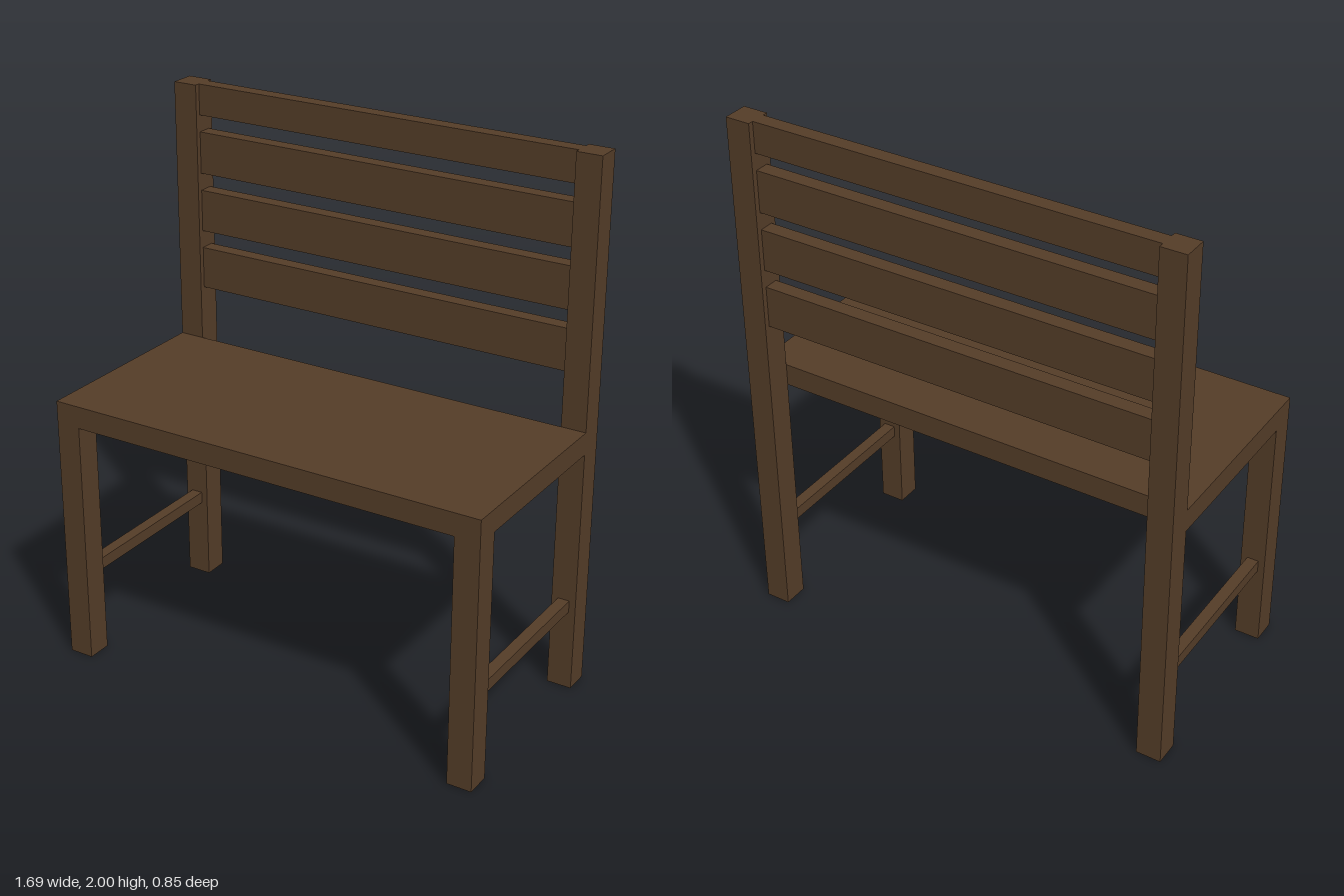
import * as THREE from 'three';

export function createModel() {
  const bench = new THREE.Group();
  bench.name = 'bench';
  const wood = new THREE.MeshStandardMaterial({ color: 0x553d28 });
  wood.name = 'dark wood';

  // Box given by its lower and upper limits on each axis
  function beam(name, [x0, x1], [y0, y1], [z0, z1]) {
    const mesh = new THREE.Mesh(new THREE.BoxGeometry(x1 - x0, y1 - y0, z1 - z0), wood);
    mesh.name = name;
    mesh.position.set((x0 + x1) / 2, (y0 + y1) / 2, (z0 + z1) / 2);
    bench.add(mesh);
  }

  const outer = 0.847, inner = 0.753;
  const front = 0.425, back = -0.425, post = 0.095;
  const seatBottom = 0.937, seatTop = 1.021;

  // Seat slab, ending at the front of the back posts
  beam('seat', [-outer, outer], [seatBottom, seatTop], [back + post, front]);

  // Legs, tall back posts and side rungs, mirrored left and right
  for (const [side, s] of [['left', 1], ['right', -1]]) {
    const span = (a, b) => (s > 0 ? [a, b] : [-b, -a]);
    const mid = (inner + outer) / 2;
    beam(side + 'FrontLeg', span(inner, outer), [0, seatBottom], [front - post, front]);
    beam(side + 'BackPost', span(inner, outer), [0, 2], [back, back + post]);
    beam(side + 'Rung', span(mid - 0.022, mid + 0.022), [0.31, 0.355], [back + post, front - post]);
  }

  // Backrest slats, the top one narrower
  const slats = [[1.22, 1.377], [1.443, 1.6], [1.665, 1.822], [1.885, 2]];
  slats.forEach((y, i) => beam('backSlat' + (i + 1), [-inner, inner], y, [-0.405, -0.35]));

  return bench;
}
